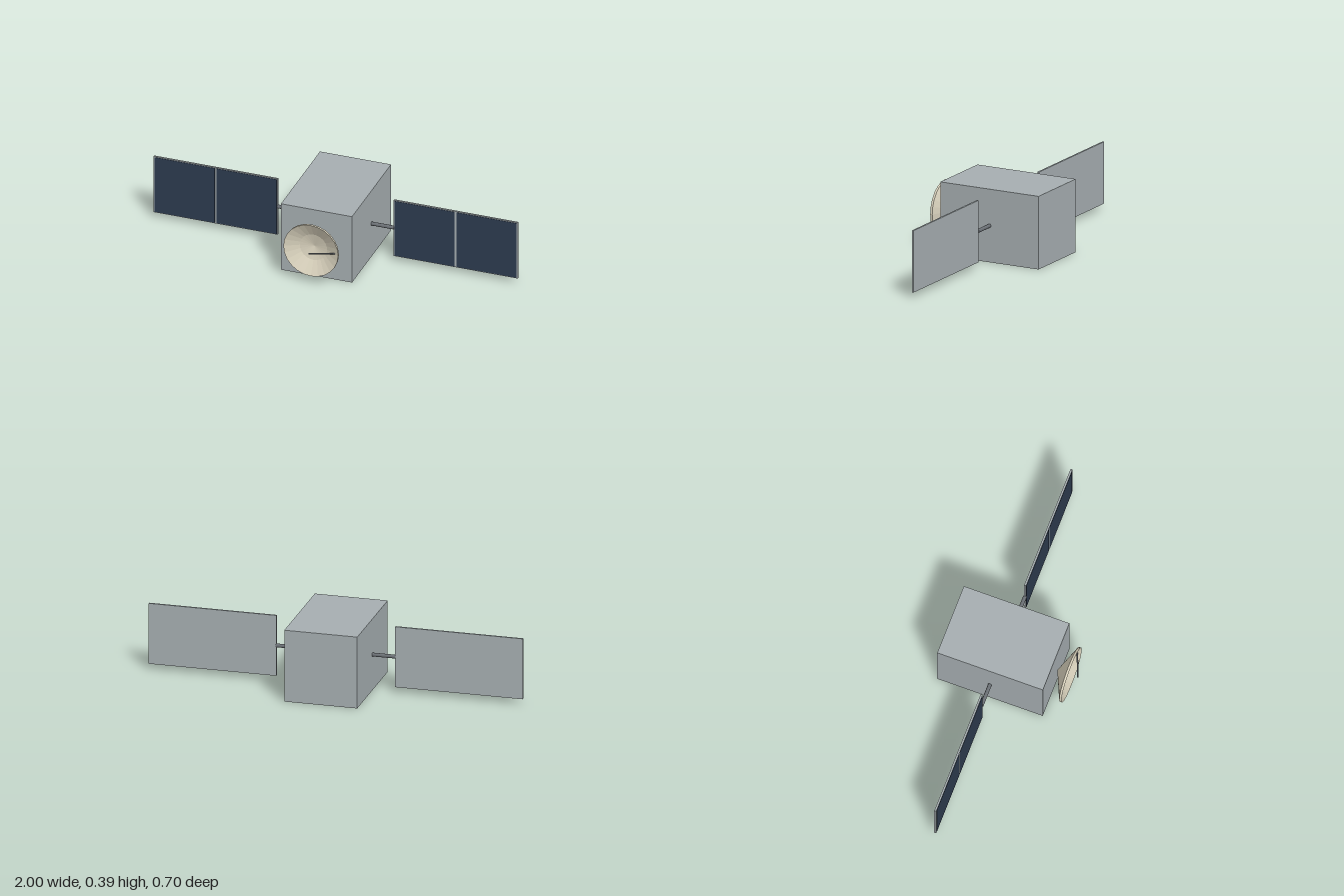
import * as THREE from 'three';

const material = (name, color, extra = {}) => {
  const m = new THREE.MeshStandardMaterial({ color, ...extra });
  m.name = name;
  return m;
};

export function createModel() {
  const root = new THREE.Group();
  root.name = 'satellite';

  const hull = material('hullGrey', 0xa6aeb1);
  const cells = material('cellNavy', 0x2d3b4f);
  const cream = material('dishCream', 0xd9d2bd, { flatShading: true, side: THREE.DoubleSide });
  const metal = material('rodGrey', 0x6b7075);

  const add = (parent, name, geometry, mat, x = 0, y = 0, z = 0) => {
    const mesh = new THREE.Mesh(geometry, mat);
    mesh.name = name;
    mesh.position.set(x, y, z);
    parent.add(mesh);
    return mesh;
  };

  // Round rod between two points
  const rod = (parent, name, a, b, radius) => {
    const d = b.clone().sub(a);
    const mesh = add(parent, name, new THREE.CylinderGeometry(radius, radius, d.length(), 12), metal);
    mesh.position.copy(a).lerp(b, 0.5);
    mesh.quaternion.setFromUnitVectors(new THREE.Vector3(0, 1, 0), d.normalize());
  };

  const midY = 0.195;
  const wingZ = -0.061;

  // Main body
  add(root, 'body', new THREE.BoxGeometry(0.39, 0.39, 0.58), hull, 0, midY, -0.061);

  // Solar wings: arm, backing panel and two cell plates on the front
  for (const side of [-1, 1]) {
    const wing = new THREE.Group();
    wing.name = side > 0 ? 'leftWing' : 'rightWing';
    root.add(wing);
    rod(wing, 'wingArm', new THREE.Vector3(side * 0.19, midY, wingZ),
      new THREE.Vector3(side * 0.32, midY, wingZ), 0.01);
    add(wing, 'panel', new THREE.BoxGeometry(0.682, 0.33, 0.01), hull, side * 0.659, midY, wingZ);
    for (const x of [0.4875, 0.8275]) {
      add(wing, 'solarCells', new THREE.BoxGeometry(0.329, 0.322, 0.002), cells,
        side * x, midY, wingZ + 0.0055);
    }
  }

  // Dish: conical back, short rim and shallow bowl
  const profile = [[0, 0.236], [0.15, 0.302], [0.15, 0.314], [0.075, 0.274], [0, 0.257]]
    .map(([r, z]) => new THREE.Vector2(r, z));
  const dish = new THREE.LatheGeometry(profile, 24);
  dish.rotateX(Math.PI / 2);
  add(root, 'dish', dish, cream, 0, midY, 0);

  // Antenna feed reaching from the bowl edge to the dish axis
  rod(root, 'antennaFeed', new THREE.Vector3(0.128, midY, 0.298),
    new THREE.Vector3(0, midY, 0.348), 0.004);

  return root;
}
